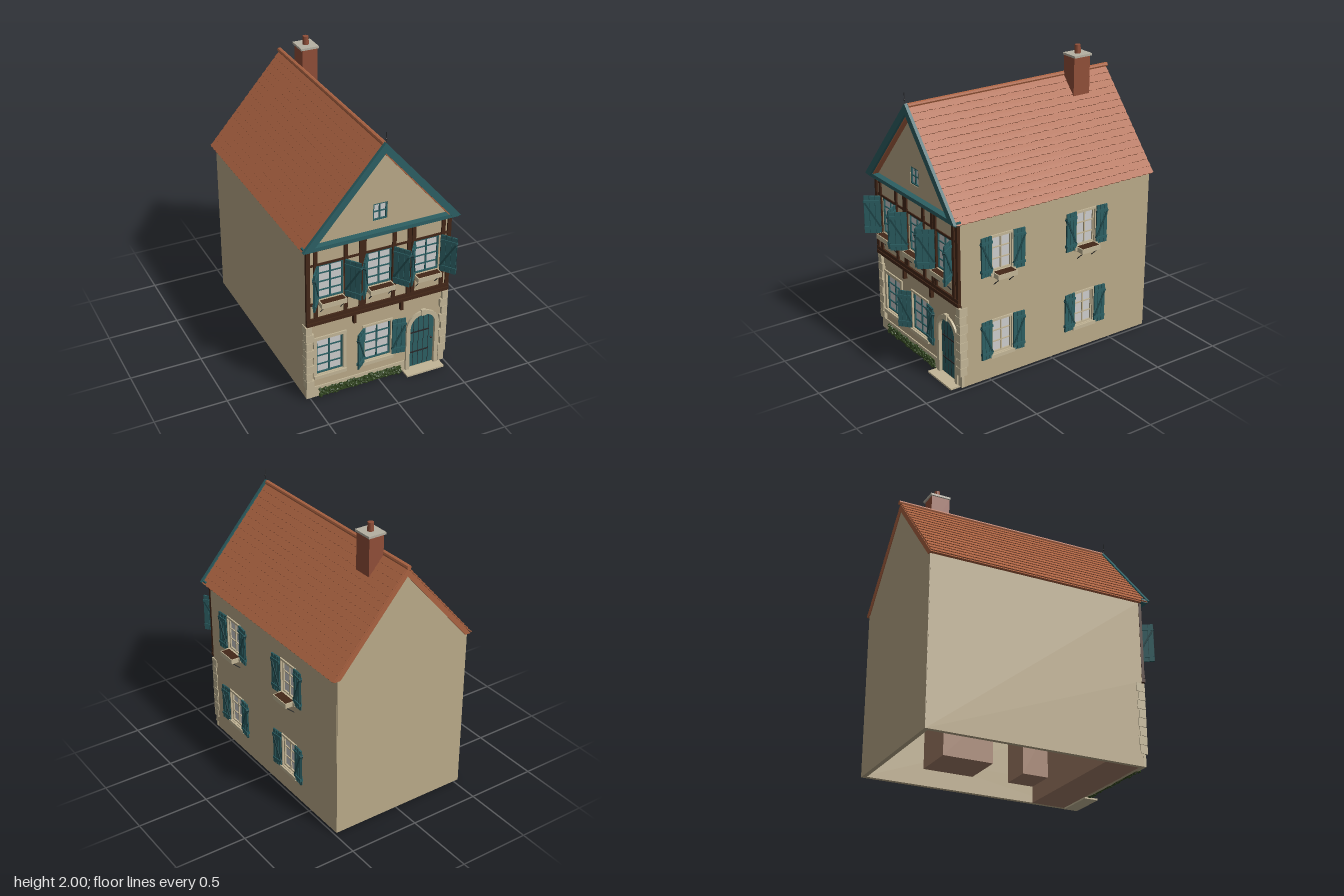
import * as THREE from 'three';

const CX = -0.02, SLOPE = 1.15, PITCH = Math.atan(SLOPE);
const mat = color => new THREE.MeshStandardMaterial({ color, flatShading: true });
const M = {
  wall: mat(0xb9a988), stone: mat(0xc2b596), teal: mat(0x2c5f63), dark: mat(0x1f474b), timber: mat(0x432718),
  tile: mat(0xaa6241), brick: mat(0x8f4e38), cap: mat(0xb5b0a2), glass: mat(0xcccccc), iron: mat(0x26282a),
  hedge: mat(0x31451f), inside: mat(0xa07c66),
};

function add(parent, name, geo, material, x = 0, y = 0, z = 0) {
  const m = new THREE.Mesh(geo, material);
  m.name = name;
  m.position.set(x, y, z);
  parent.add(m);
  return m;
}
// Box given by its limits on each axis
const block = (p, name, m, x0, x1, y0, y1, z0, z1) =>
  add(p, name, new THREE.BoxGeometry(x1 - x0, y1 - y0, z1 - z0), m, (x0 + x1) / 2, (y0 + y1) / 2, (z0 + z1) / 2);
const rod = (p, name, m, a, b, r) => {
  const A = new THREE.Vector3(...a), B = new THREE.Vector3(...b);
  const o = add(p, name, new THREE.CylinderGeometry(r, r, A.distanceTo(B), 8), m);
  o.position.copy(A).lerp(B, 0.5);
  o.quaternion.setFromUnitVectors(new THREE.Vector3(0, 1, 0), B.sub(A).normalize());
};
const poly = pts => new THREE.Shape(pts.map(p => new THREE.Vector2(...p)));
const rect = (cx, cy, w, h) => poly([[cx - w / 2, cy - h / 2], [cx + w / 2, cy - h / 2], [cx + w / 2, cy + h / 2], [cx - w / 2, cy + h / 2]]);
// Plate whose outer face lies at z and which extends backwards
function plate(p, name, m, shape, holes, depth, z = 0) {
  shape.holes.push(...holes);
  const g = new THREE.ExtrudeGeometry(shape, { depth, bevelEnabled: false, curveSegments: 10 });
  return add(p, name, g.translate(0, 0, -depth), m, 0, 0, z);
}
const arch = (cx, y0, spring, r) => {
  const s = new THREE.Shape();
  s.moveTo(cx - r, y0); s.lineTo(cx + r, y0); s.lineTo(cx + r, spring);
  s.absarc(cx, spring, r, 0, Math.PI); s.closePath();
  return s;
};
const gable = (cx, y0) => poly([[cx - 0.508, y0], [cx + 0.508, y0], [cx + 0.508, 1.18], [cx, 1.764], [cx - 0.508, 1.18]]);
const chevron = (apex, half, t) => {
  const y = apex - SLOPE * half, i = half - t / SLOPE;
  return poly([[-half, y], [-i, y], [0, apex - t], [i, y], [half, y], [0, apex]]);
};

// Planked shutter hinged at the origin, opening by an angle
function shutter(p, x, side, w, h, angle) {
  const g = new THREE.Group();
  g.name = 'shutter';
  g.position.set(x, 0, 0.012);
  g.rotation.y = -side * angle;
  p.add(g);
  const mid = side * w / 2;
  add(g, 'shutterBack', new THREE.BoxGeometry(w, h, 0.006), M.dark, mid);
  for (let i = -1; i <= 1; i++)
    add(g, 'shutterPlank', new THREE.BoxGeometry(w / 3 - 0.004, h, 0.012), M.teal, mid + i * w / 3);
  for (const s of [-1, 1]) add(g, 'shutterBatten', new THREE.BoxGeometry(w, 0.018, 0.022), M.teal, mid, s * h * 0.36);
  const d = add(g, 'shutterBrace', new THREE.BoxGeometry(0.012, Math.hypot(w, h * 0.72), 0.02), M.dark, mid);
  d.rotation.z = -side * Math.atan(w / (h * 0.72));
}

// Window with its centre on the wall face, facing +z
function windowUnit(p, x, y, w, h, { rows = 3, surround = 0.015, shelf = 0, frame = M.stone, shutters = [null, null], sw = 0.095 } = {}) {
  const g = new THREE.Group();
  g.name = 'window';
  g.position.set(x, y, 0);
  p.add(g);
  add(g, 'pane', new THREE.BoxGeometry(w, h, 0.006), M.glass, 0, 0, -0.018);
  plate(g, 'sash', frame, rect(0, 0, w, h), [rect(0, 0, w - 0.018, h - 0.018)], 0.014, -0.004);
  add(g, 'mullion', new THREE.BoxGeometry(0.009, h, 0.01), frame, 0, 0, -0.012);
  for (let i = 1; i < rows; i++) add(g, 'glazingBar', new THREE.BoxGeometry(w, 0.007, 0.009), frame, 0, (i / rows - 0.5) * h, -0.012);
  if (surround) {
    plate(g, 'surround', M.stone, rect(0, 0, w + surround * 2, h + surround * 2), [rect(0, 0, w, h)], 0.012, 0.01);
    block(g, 'sill', M.stone, -w / 2 - 0.02, w / 2 + 0.02, -h / 2 - 0.028, -h / 2 - 0.003, -0.01, 0.022);
  }
  if (shelf) {
    block(g, 'flowerShelf', M.stone, -w / 2, w / 2, -h / 2 - 0.035, -h / 2 - 0.002, 0, shelf);
    block(g, 'flowerSoil', M.timber, -w / 2 + 0.008, w / 2 - 0.008, -h / 2 - 0.01, -h / 2, 0.01, shelf - 0.006);
    for (const s of [-1, 1])
      rod(g, 'shelfBracket', M.iron, [s * w * 0.4, -h / 2 - 0.095, 0], [s * w * 0.4, -h / 2 - 0.035, shelf - 0.01], 0.003);
  }
  shutters.forEach((a, i) => {
    const s = i ? 1 : -1;
    if (a !== null) shutter(g, s * (w / 2 + 0.008), s, sw, 0.27, a);
  });
}

function walls(house) {
  const front = new THREE.Group(), upper = new THREE.Group(), right = new THREE.Group();
  front.name = 'groundFloorFront'; upper.name = 'upperFront'; right.name = 'windowSide';
  front.position.z = 0.715;
  upper.position.z = 0.73;
  right.position.x = 0.49; right.rotation.y = Math.PI / 2;
  house.add(front, upper, right);

  // Ground floor with two windows and the arched door
  const low = [[-0.36, 0.325, 0.19, 0.27], [-0.015, 0.325, 0.19, 0.27]];
  plate(front, 'frontWall', M.wall, poly([[-0.526, 0.015], [0.49, 0.015], [0.49, 0.62], [-0.526, 0.62]]),
    [...low.map(a => rect(...a)), arch(0.32, 0.016, 0.345, 0.095)], 0.03);
  windowUnit(front, ...low[0], { rows: 4, surround: 0.022, frame: M.teal });
  windowUnit(front, ...low[1], { rows: 4, frame: M.teal, shutters: [0.7, 0.15] });
  plate(front, 'door', M.teal, arch(0.32, 0.016, 0.345, 0.095), [], 0.015, -0.012);
  plate(front, 'doorSurround', M.stone, arch(0.32, 0.016, 0.345, 0.122), [arch(0.32, 0.0161, 0.345, 0.093)], 0.02, 0.014);
  block(front, 'keystone', M.stone, 0.303, 0.337, 0.435, 0.478, 0, 0.022);
  for (let i = 1; i < 5; i++) block(front, 'doorGroove', M.iron, 0.2235 + i * 0.038, 0.2265 + i * 0.038, 0.02, 0.405, -0.014, -0.0105);
  for (const y of [0.13, 0.29]) block(front, 'strapHinge', M.iron, 0.24, 0.38, y, y + 0.008, -0.013, -0.006);
  add(front, 'doorHandle', new THREE.SphereGeometry(0.008, 8, 6), M.iron, 0.395, 0.22, -0.004);
  for (const [a, b] of [[-0.53, 0.19], [0.45, 0.492]]) block(front, 'plinth', M.stone, a, b, 0.015, 0.095, -0.01, 0.008);

  // Upper storey and gable
  const top = [-0.36, -0.018, 0.322].map(x => [x, 0.905, 0.175, 0.25]);
  const attic = [-0.02, 1.315, 0.1, 0.12];
  plate(upper, 'gableWall', M.wall, gable(CX, 0.6), [...top, attic].map(a => rect(...a)), 0.03);
  top.forEach(a => windowUnit(upper, ...a, { rows: 4, surround: 0, shelf: 0.06, frame: M.teal, shutters: [0.95, 0.95], sw: 0.115 }));
  windowUnit(upper, ...attic, { rows: 2, surround: 0, frame: M.teal });
  for (const x of [-0.518, -0.466, -0.258, -0.152, -0.13, 0.082, 0.19, 0.222, 0.435, 0.478])
    block(upper, 'timberPost', M.timber, x - 0.013, x + 0.013, 0.64, 1.17, -0.01, 0.011);
  for (const [y0, y1, z] of [[0.598, 0.622, 0.016], [0.625, 0.65, 0.013], [0.745, 0.765, 0.007], [1.035, 1.05, 0.007], [1.145, 1.17, 0.012]])
    block(upper, 'timberRail', M.timber, -0.531, 0.492, y0, y1, -0.01, z);
  for (const x of [-0.19, 0.15]) block(upper, 'console', M.timber, x - 0.01, x + 0.01, 0.53, 0.6, -0.02, 0.01);
  block(upper, 'gableBeam', M.teal, -0.56, 0.52, 1.168, 1.194, 0, 0.045);

  // Side wall with four shuttered windows, then the two plain walls
  const holes = [];
  for (const z of [0.41, -0.26]) for (const y of [0.31, 0.9]) holes.push([-z, y, 0.15, 0.235]);
  plate(right, 'sideWall', M.wall, poly([[-0.715, 0.015], [0.8, 0.015], [0.8, 1.18], [-0.729, 1.18], [-0.729, 0.6], [-0.715, 0.6]]),
    holes.map(a => rect(...a)), 0.03);
  holes.forEach(a => windowUnit(right, ...a, { shelf: a[1] > 0.6 ? 0.075 : 0, shutters: [0.08, 0.08], sw: 0.086 }));
  const left = plate(house, 'plainSideWall', M.wall, poly([[-0.8, 0.015], [0.715, 0.015], [0.715, 0.6], [0.729, 0.6], [0.729, 1.18], [-0.8, 1.18]]), [], 0.03);
  left.position.x = -0.529; left.rotation.y = -Math.PI / 2;
  const back = plate(house, 'backWall', M.wall, gable(-CX, 0.015), [], 0.03, -0.804);
  back.rotation.y = Math.PI;

  // Corner stones, alternating long and short
  for (let i = 0; i < 8; i++) {
    const y = 0.1 + i * 0.061, l = i % 2 ? 0.042 : 0.056, z0 = i % 2 ? 0.675 : 0.685;
    block(house, 'quoin', M.stone, -0.534, -0.534 + l, y, y + 0.058, z0, 0.736);
    block(house, 'quoin', M.stone, 0.496 - l, 0.496, y, y + 0.058, z0, 0.736);
  }

  // Inside of the open base
  block(house, 'partition', M.inside, -0.5, 0.465, 0.03, 0.6, 0.44, 0.455);
  block(house, 'frontFloor', M.inside, -0.5, 0.465, 0.015, 0.03, 0.44, 0.69);
  block(house, 'ceiling', M.inside, -0.5, 0.465, 0.6, 0.62, -0.775, 0.7);
  block(house, 'roomBox', M.inside, 0.15, 0.462, 0.13, 0.5, -0.38, -0.02);
  block(house, 'roomBox', M.inside, 0.24, 0.462, 0.13, 0.5, 0.25, 0.445);
}

function roof(house) {
  const L = 0.536 * Math.hypot(1, SLOPE), rows = 16, step = L / rows, len = 1.58, n = 34;
  const slab = plate(house, 'roofSlab', M.tile, chevron(1.785, 0.535, 0.052), [], len, 0.77);
  slab.position.x = CX;
  const barge = plate(house, 'bargeBoard', M.teal, chevron(1.814, 0.55, 0.07), [], 0.022, 0.788);
  barge.position.x = CX;

  // One row of tiles with a scalloped lower edge
  const s = new THREE.Shape();
  s.moveTo(-len / 2, 0.005);
  s.lineTo(-len / 2, -step);
  for (let i = 0; i < n; i++) {
    const x = -len / 2 + i * len / n;
    s.quadraticCurveTo(x + len / n / 2, -step - 0.01, x + len / n, -step);
  }
  s.lineTo(len / 2, 0.005);
  s.closePath();
  const tiles = new THREE.ExtrudeGeometry(s, { depth: 0.007, bevelEnabled: false, curveSegments: 3 });
  tiles.rotateX(-Math.PI / 2).rotateX(-0.09);
  for (const side of [-1, 1]) {
    const g = new THREE.Group();
    g.name = 'roofSide';
    g.position.set(CX, 1.787, -0.02);
    g.rotation.set(PITCH, side * Math.PI / 2, 0, 'YXZ');
    house.add(g);
    for (let i = 0; i < rows; i++) add(g, 'tileRow', tiles, M.tile, 0, 0, i * step);
  }
  rod(house, 'ridgeTiles', M.tile, [CX, 1.797, -0.823], [CX, 1.797, 0.766], 0.016);
  rod(house, 'finial', M.iron, [CX, 1.79, 0.785], [CX, 1.885, 0.785], 0.002);
  add(house, 'finialKnob', new THREE.SphereGeometry(0.006, 8, 6), M.iron, CX, 1.84, 0.785);

  // Chimney
  block(house, 'chimney', M.brick, -0.01, 0.1, 1.665, 1.93, -0.58, -0.448);
  block(house, 'chimneyCap', M.cap, -0.02, 0.11, 1.927, 1.942, -0.59, -0.445);
  add(house, 'chimneyPot', new THREE.CylinderGeometry(0.02, 0.022, 0.06, 12), M.brick, 0.045, 1.97, -0.517);
}

function garden(house) {
  block(house, 'doorstep', M.stone, 0.18, 0.46, 0.004, 0.016, 0.69, 0.79);
  let seed = 7;
  const rnd = () => (seed = (seed * 16807) % 2147483647) / 2147483647;
  const leaf = new THREE.IcosahedronGeometry(0.013, 0);
  const hedge = new THREE.Group();
  hedge.name = 'hedge';
  house.add(hedge);
  block(hedge, 'hedgeCore', M.hedge, -0.43, 0.16, 0.015, 0.068, 0.71, 0.73);
  for (let i = 0; i < 200; i++) {
    const m = add(hedge, 'leaves', leaf, M.hedge, -0.435 + rnd() * 0.6, 0.016 + rnd() * 0.057, 0.718 + rnd() * 0.016);
    m.rotation.set(rnd() * 3, rnd() * 3, 0);
    m.scale.setScalar(0.6 + rnd() * 0.6);
  }
}

export function createModel() {
  const house = new THREE.Group();
  house.name = 'house';
  walls(house);
  roof(house);
  garden(house);
  return house;
}
